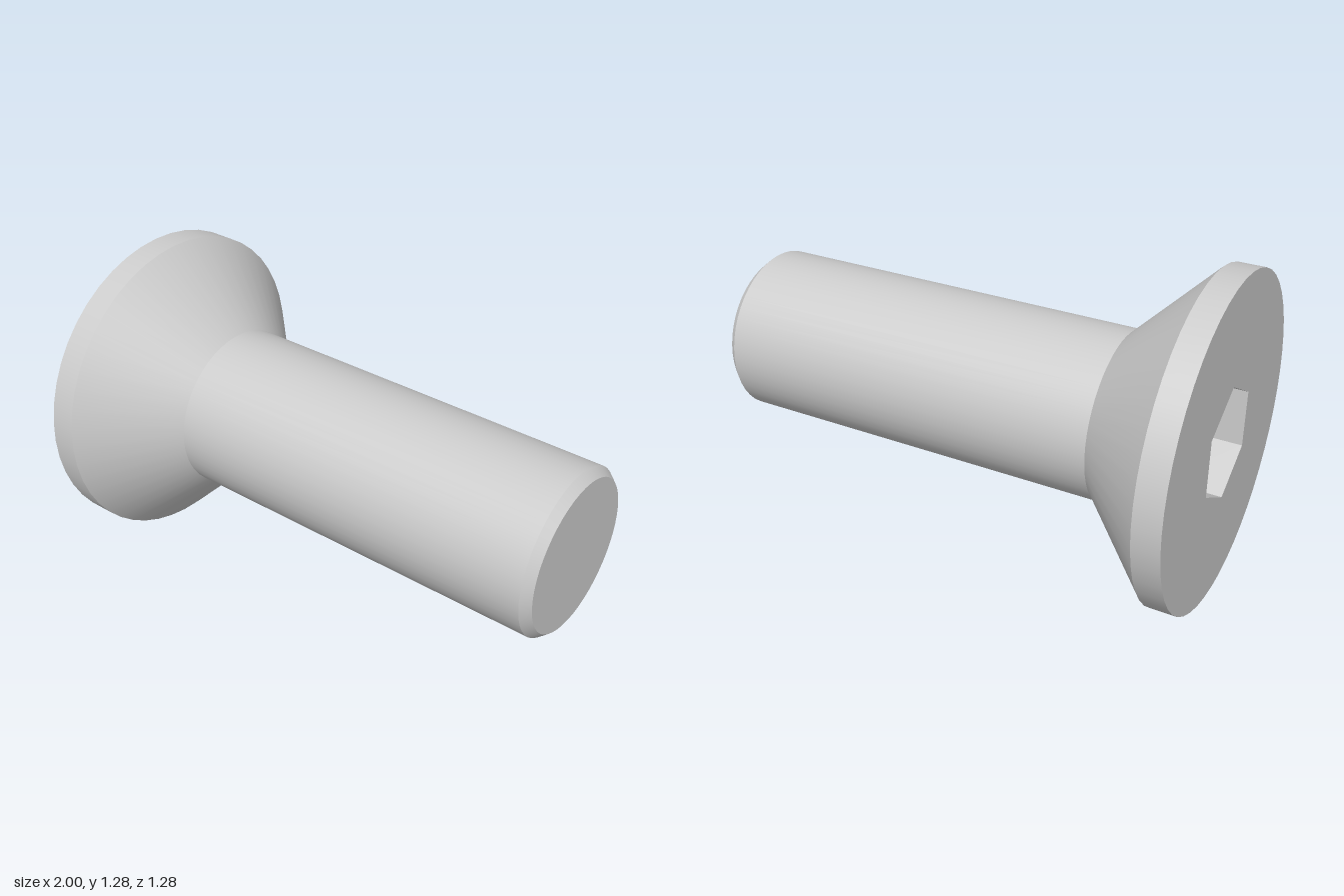
import * as THREE from 'three';

const SEGMENTS = 48;
const AXIS_Y = 0.64;
const HEAD_R = 0.64, SHAFT_R = 0.33, TIP_R = 0.3;
const HEX_R = 0.23, HEX_DEPTH = 0.235;

export function createModel() {
  const model = new THREE.Group();
  model.name = 'countersunkBolt';
  const material = new THREE.MeshStandardMaterial({ color: 0xcccccc });

  function add(name, geometry, mat = material) {
    const mesh = new THREE.Mesh(geometry, mat);
    mesh.name = name;
    mesh.position.y = AXIS_Y;
    model.add(mesh);
  }

  // Each band is turned separately around the x axis so its edges stay sharp
  function band(name, x0, r0, x1, r1) {
    const profile = [new THREE.Vector2(r0, x0), new THREE.Vector2(r1, x1)];
    add(name, new THREE.LatheGeometry(profile, SEGMENTS).rotateZ(-Math.PI / 2));
  }
  band('headRim', -1, HEAD_R, -0.895, HEAD_R);
  band('headCone', -0.895, HEAD_R, -0.59, SHAFT_R);
  band('shaft', -0.59, SHAFT_R, 0.965, SHAFT_R);
  band('tipChamfer', 0.965, SHAFT_R, 1, TIP_R);
  band('tipFace', 1, TIP_R, 1, 0);

  // Regular polygon with a corner at the top
  const polygon = (radius, sides) => Array.from({ length: sides }, (_, i) => {
    const a = Math.PI / 2 + (i / sides) * Math.PI * 2;
    return new THREE.Vector2(radius * Math.cos(a), radius * Math.sin(a));
  });

  // Flat head face with a hexagonal opening
  const face = new THREE.Shape(polygon(HEAD_R, SEGMENTS));
  face.holes.push(new THREE.Path(polygon(HEX_R, 6)));
  add('headFace', new THREE.ShapeGeometry(face).rotateY(-Math.PI / 2).translate(-1, 0, 0));

  // Socket walls, seen from inside, and the socket floor
  const wallMaterial = new THREE.MeshStandardMaterial({
    color: 0xcccccc, flatShading: true, side: THREE.BackSide,
  });
  add('socketWalls',
    new THREE.CylinderGeometry(HEX_R, HEX_R, HEX_DEPTH, 6, 1, true, Math.PI / 6)
      .rotateZ(-Math.PI / 2).translate(-1 + HEX_DEPTH / 2, 0, 0),
    wallMaterial);
  add('socketFloor',
    new THREE.ShapeGeometry(new THREE.Shape(polygon(HEX_R, 6)))
      .rotateY(-Math.PI / 2).translate(-1 + HEX_DEPTH, 0, 0));

  return model;
}
